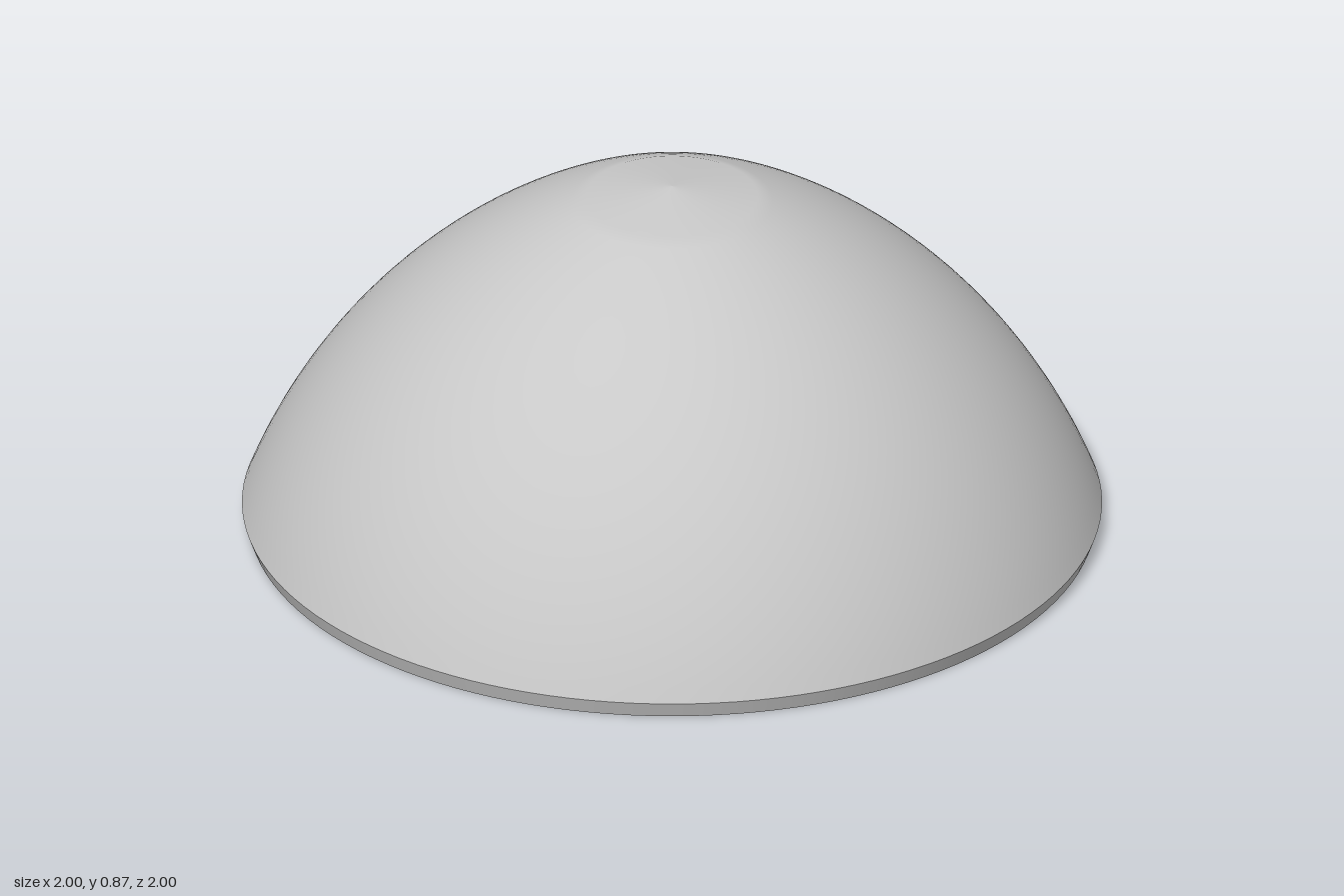
import * as THREE from 'three';

const grey = new THREE.MeshStandardMaterial({ color: 0xc8c8c8 });
grey.name = 'plain grey';

const OPENING = 0.79; // radius of the opening underneath
const HOLE_RING = 0.865; // ring on which the screw holes sit
const HOLE = 0.02;
const FIXINGS = [30, 150, 270].map((d) => THREE.MathUtils.degToRad(d));

// Profiles running upward face outward, those running downward face inward.
function turned(name, profile, segments = 128) {
  const points = profile.map(([x, y]) => new THREE.Vector2(x, y));
  const mesh = new THREE.Mesh(new THREE.LatheGeometry(points, segments), grey);
  mesh.name = name;
  return mesh;
}

export function createModel() {
  const model = new THREE.Group();
  model.name = 'domeShade';

  // Outer dome: one arc from the rim, ending in a low conical tip
  const dome = [];
  for (let i = 0; i <= 32; i++) {
    const a = THREE.MathUtils.degToRad(21.08 + (68.57 - 21.08) * (i / 32));
    dome.push([-0.315 + 1.409 * Math.cos(a), -0.467 + 1.409 * Math.sin(a)]);
  }
  dome.push([0, 0.872]);
  model.add(turned('outerDome', dome));
  model.add(turned('rimBand', [[0.985, 0], dome[0]]));

  // Hollow inside: a plain cone
  model.add(turned('innerCone', [[0, 0.8], [OPENING, 0]]));

  // Flat underside with the opening and screw holes
  const ring = new THREE.Shape().absarc(0, 0, 0.985, 0, Math.PI * 2);
  ring.holes.push(new THREE.Path().absarc(0, 0, OPENING, 0, Math.PI * 2, true));
  for (const a of FIXINGS) {
    const x = HOLE_RING * Math.cos(a), z = HOLE_RING * Math.sin(a);
    ring.holes.push(new THREE.Path().absarc(x, z, HOLE, 0, Math.PI * 2, true));
  }
  const underside = new THREE.Mesh(new THREE.ShapeGeometry(ring, 64).rotateX(Math.PI / 2), grey);
  underside.name = 'underside';
  model.add(underside);

  // Each fixing: a blind screw hole and a tab reaching into the opening
  for (const a of FIXINGS) {
    const fixing = new THREE.Group();
    fixing.name = 'fixing';
    fixing.rotation.y = -a;

    const wall = turned('screwHoleWall', [[HOLE, 0.1], [HOLE, 0]], 24);
    const end = turned('screwHoleEnd', [[0, 0.1], [HOLE, 0.1]], 24);
    wall.position.x = end.position.x = HOLE_RING;

    const tab = new THREE.Mesh(new THREE.BoxGeometry(0.055, 0.05, 0.225), grey);
    tab.name = 'tab';
    tab.position.set(0.7725, 0.025, 0);

    fixing.add(wall, end, tab);
    model.add(fixing);
  }
  return model;
}
